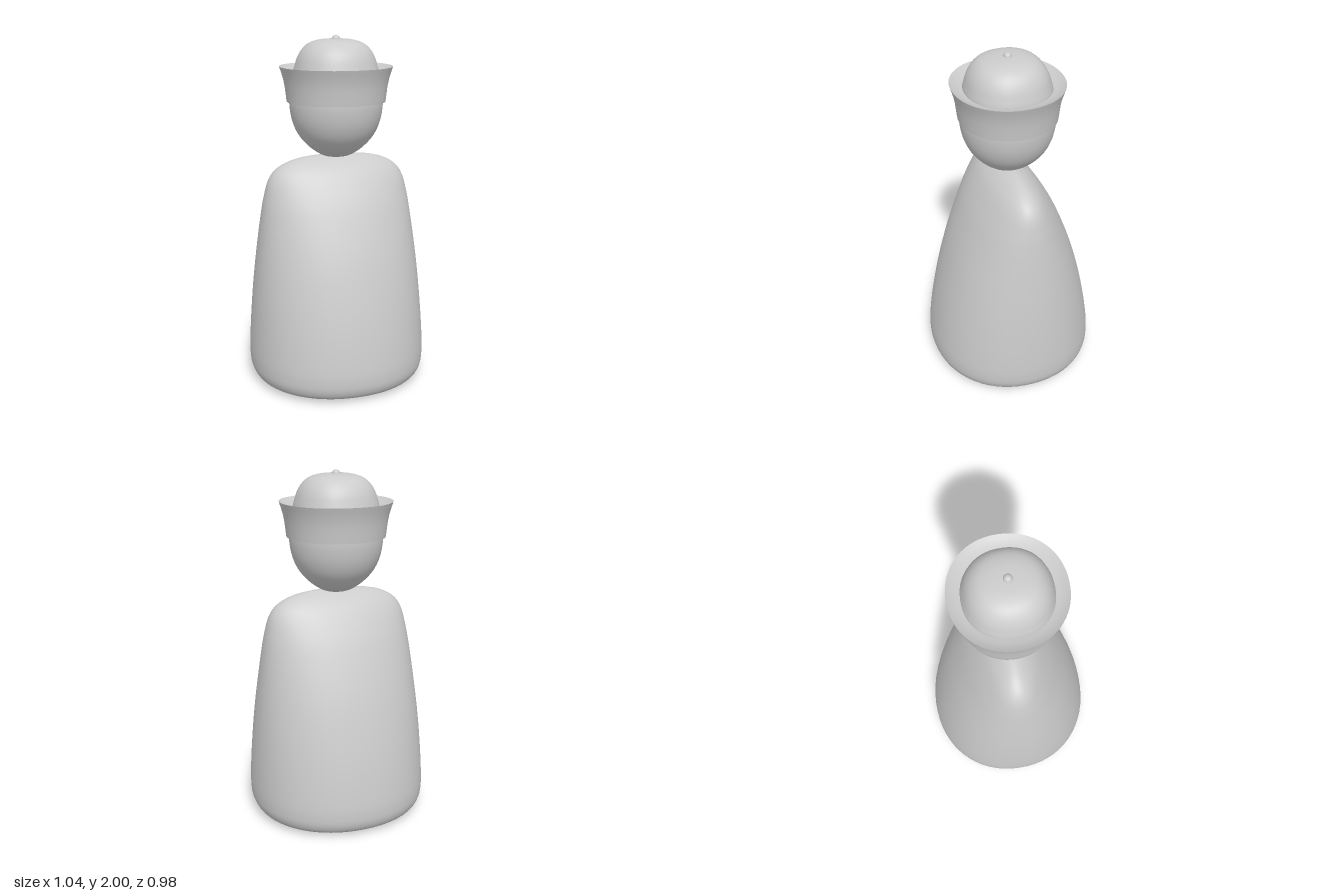
import * as THREE from 'three';
import { toCreasedNormals } from 'three/addons/utils/BufferGeometryUtils.js';

const material = new THREE.MeshStandardMaterial({ color: 0xcccccc });
const SEGMENTS = 64;

// Skin over rounded cross-sections listed from bottom to top as [rx, y, rz];
// power 2 is an ellipse, higher is squarer
function loft(rows, power) {
  const pos = [], index = [];
  const soften = v => Math.sign(v) * Math.pow(Math.abs(v), 2 / power);
  rows.forEach(([rx, y, rz]) => {
    for (let j = 0; j < SEGMENTS; j++) {
      const a = (j / SEGMENTS) * Math.PI * 2;
      pos.push(rx * soften(Math.cos(a)), y, rz * soften(Math.sin(a)));
    }
  });
  for (let i = 0; i < rows.length - 1; i++) {
    for (let j = 0; j < SEGMENTS; j++) {
      const k = (j + 1) % SEGMENTS;
      const a = i * SEGMENTS + j, b = i * SEGMENTS + k;
      const c = a + SEGMENTS, d = b + SEGMENTS;
      index.push(a, c, b, b, c, d);
    }
  }
  const g = new THREE.BufferGeometry();
  g.setAttribute('position', new THREE.Float32BufferAttribute(pos, 3));
  g.setIndex(index);
  g.computeVertexNormals();
  return g;
}

// Smooth curve through the cross-section sizes, with tiny end rings as caps
function smoothRows(points, count) {
  const curve = new THREE.CatmullRomCurve3(points.map(p => new THREE.Vector3(...p)));
  return curve.getPoints(count).map(p => [Math.max(p.x, 0.0005), p.y, Math.max(p.z, 0.0005)]);
}

const round = pts => pts.map(([r, y]) => [r, y, r]);

export function createModel() {
  const group = new THREE.Group();
  const add = (name, geometry) => {
    const mesh = new THREE.Mesh(geometry, material);
    mesh.name = name;
    group.add(mesh);
    return mesh;
  };

  // Cloaked body: round at the foot, pinched to a shoulder ridge
  add('body', loft(smoothRows([
    [0, 0, 0], [0.25, 0.004, 0.24], [0.43, 0.013, 0.41], [0.485, 0.03, 0.462],
    [0.51, 0.075, 0.486], [0.517, 0.14, 0.491], [0.516, 0.22, 0.484],
    [0.506, 0.4, 0.455], [0.49, 0.6, 0.41], [0.468, 0.8, 0.352],
    [0.442, 1.0, 0.276], [0.425, 1.1, 0.23], [0.398, 1.2, 0.172],
    [0.36, 1.255, 0.132], [0.29, 1.298, 0.086], [0.2, 1.323, 0.046],
    [0.1, 1.334, 0.018], [0, 1.336, 0],
  ], 90), 2.12));

  // Head
  add('head', loft(smoothRows(round([
    [0, 1.323], [0.07, 1.328], [0.125, 1.357], [0.175, 1.4], [0.218, 1.455],
    [0.246, 1.52], [0.26, 1.59], [0.262, 1.65], [0.245, 1.72], [0.2, 1.78], [0, 1.8],
  ]), 40), 2.05));

  // Turned-up hat brim with a sharp rim and a shallow dished top
  add('hatBrim', toCreasedNormals(loft([
    [0.235, 1.645, 0.235], [0.262, 1.635, 0.255], [0.277, 1.635, 0.27],
    [0.281, 1.67, 0.274], [0.287, 1.72, 0.279], [0.296, 1.765, 0.287],
    [0.307, 1.802, 0.298], [0.317, 1.83, 0.307], [0.295, 1.817, 0.286],
    [0.265, 1.806, 0.257], [0.225, 1.798, 0.22],
  ], 2.1), 0.7));

  // Domed hat crown
  add('hatCrown', loft(smoothRows(round([
    [0.238, 1.78], [0.236, 1.805], [0.228, 1.835], [0.213, 1.88], [0.19, 1.92],
    [0.155, 1.953], [0.105, 1.972], [0.05, 1.979], [0, 1.98],
  ]), 30), 2.2));

  // Button on top of the hat
  add('hatButton', new THREE.SphereGeometry(0.024, 24, 16)).position.y = 1.976;

  return group;
}
